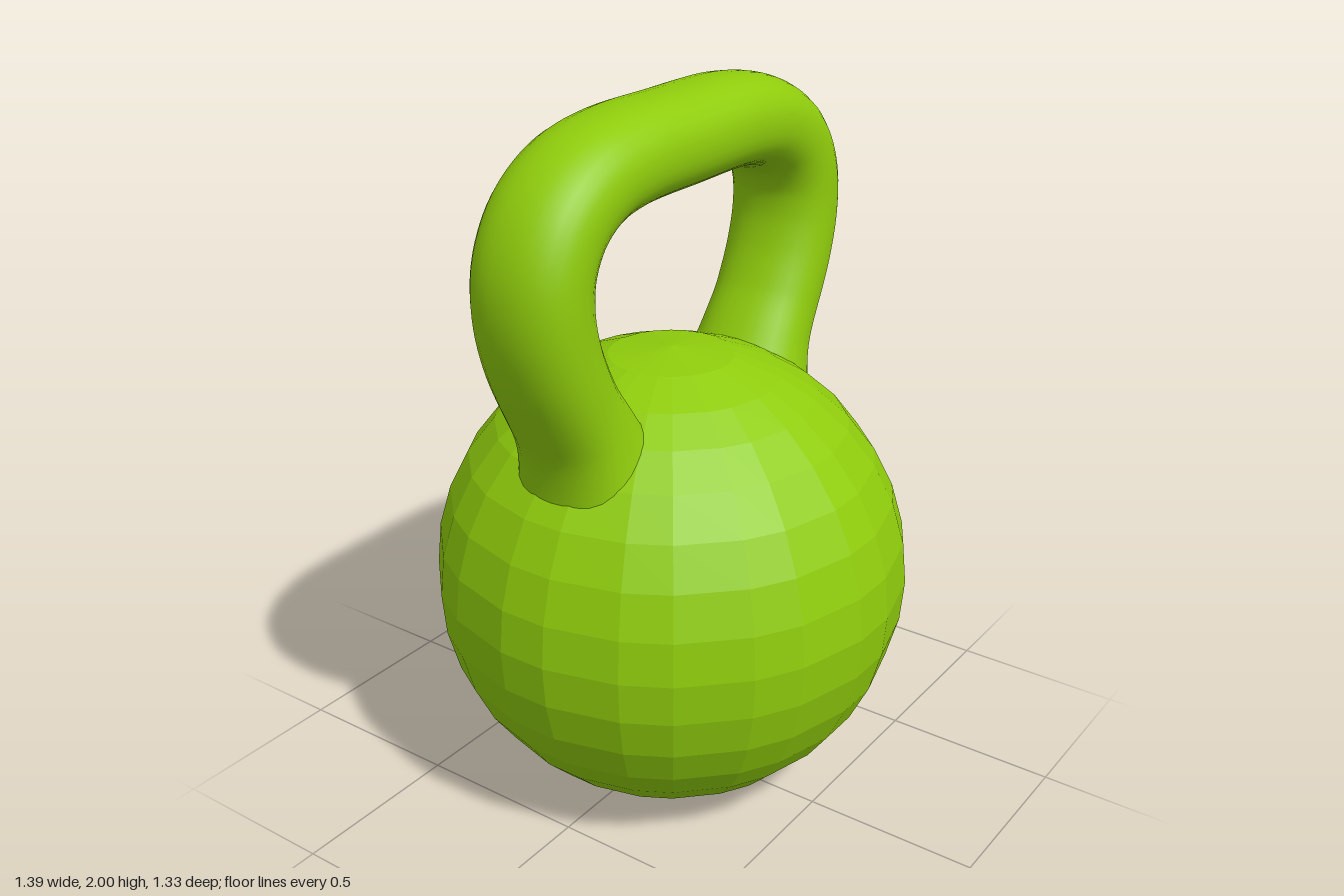
import * as THREE from 'three';
import { mergeVertices } from 'three/addons/utils/BufferGeometryUtils.js';

const SIDES = 24;

// Faceted ball with a flat foot; facets alternate between wide and narrow
function ballGeometry() {
  const centre = 0.633, radius = 0.67;
  const profile = [new THREE.Vector2(0, 0.003), new THREE.Vector2(0.2, 0.003)];
  const heights = [0.02, 0.06, 0.12, 0.2, 0.29, 0.4, 0.52, 0.64, 0.76, 0.88, 0.99, 1.09, 1.17, 1.23, 1.28];
  for (const y of heights) {
    profile.push(new THREE.Vector2(Math.sqrt(radius ** 2 - (y - centre) ** 2), y));
  }
  profile.push(new THREE.Vector2(0, 1.3));

  const geo = new THREE.LatheGeometry(profile, SIDES);
  const pos = geo.attributes.position;
  for (let i = 0; i < pos.count; i++) {
    const column = Math.floor(i / profile.length);
    const { x: r, y } = profile[i % profile.length];
    const a = THREE.MathUtils.degToRad((column % SIDES) * 15 + (column % 2 ? 9 : 6));
    pos.setXYZ(i, r * Math.sin(a), y, r * Math.cos(a));
  }
  const flat = geo.toNonIndexed();
  flat.computeVertexNormals();
  return flat;
}

// Smooth oval bar, bent into a loop and flared where it joins the ball
function handleGeometry() {
  const half = [
    [0.25, 1.871], [0.39, 1.843], [0.5, 1.772], [0.558, 1.67], [0.567, 1.56],
    [0.54, 1.44], [0.487, 1.32], [0.42, 1.2], [0.365, 1.07], [0.32, 0.95],
  ];
  const path = new THREE.CatmullRomCurve3([
    ...half.map(([x, y]) => new THREE.Vector3(-x, y, 0)).reverse(),
    new THREE.Vector3(0, 1.875, 0),
    ...half.map(([x, y]) => new THREE.Vector3(x, y, 0)),
  ]);
  const steps = 120, around = 32;
  const geo = new THREE.TubeGeometry(path, steps, 1, around, false);
  const pos = geo.attributes.position;
  const offset = new THREE.Vector3();
  for (let i = 0; i < pos.count; i++) {
    const c = path.getPointAt(Math.floor(i / (around + 1)) / steps);
    offset.fromBufferAttribute(pos, i).sub(c);
    // slightly squared oval section
    const across = Math.hypot(offset.x, offset.y);
    const square = (across ** 2.3 + Math.abs(offset.z) ** 2.3) ** (-1 / 2.3);
    const flare = Math.max(0, 1.32 - c.y) ** 2;
    const width = (0.125 + 0.75 * flare) * square;
    const depth = (0.154 + 0.65 * flare) * square;
    pos.setXYZ(i, c.x + offset.x * width, c.y + offset.y * width, offset.z * depth);
  }
  geo.deleteAttribute('uv');
  geo.deleteAttribute('normal');
  const smooth = mergeVertices(geo, 1e-5);
  smooth.computeVertexNormals();
  return smooth;
}

export function createModel() {
  const green = new THREE.MeshStandardMaterial({ color: 0x8fcc0c });
  green.name = 'lime green';

  const model = new THREE.Group();
  model.name = 'kettlebell';
  const add = (name, geometry) => {
    const mesh = new THREE.Mesh(geometry, green);
    mesh.name = name;
    model.add(mesh);
  };
  add('ball', ballGeometry());
  add('handle', handleGeometry());
  return model;
}
